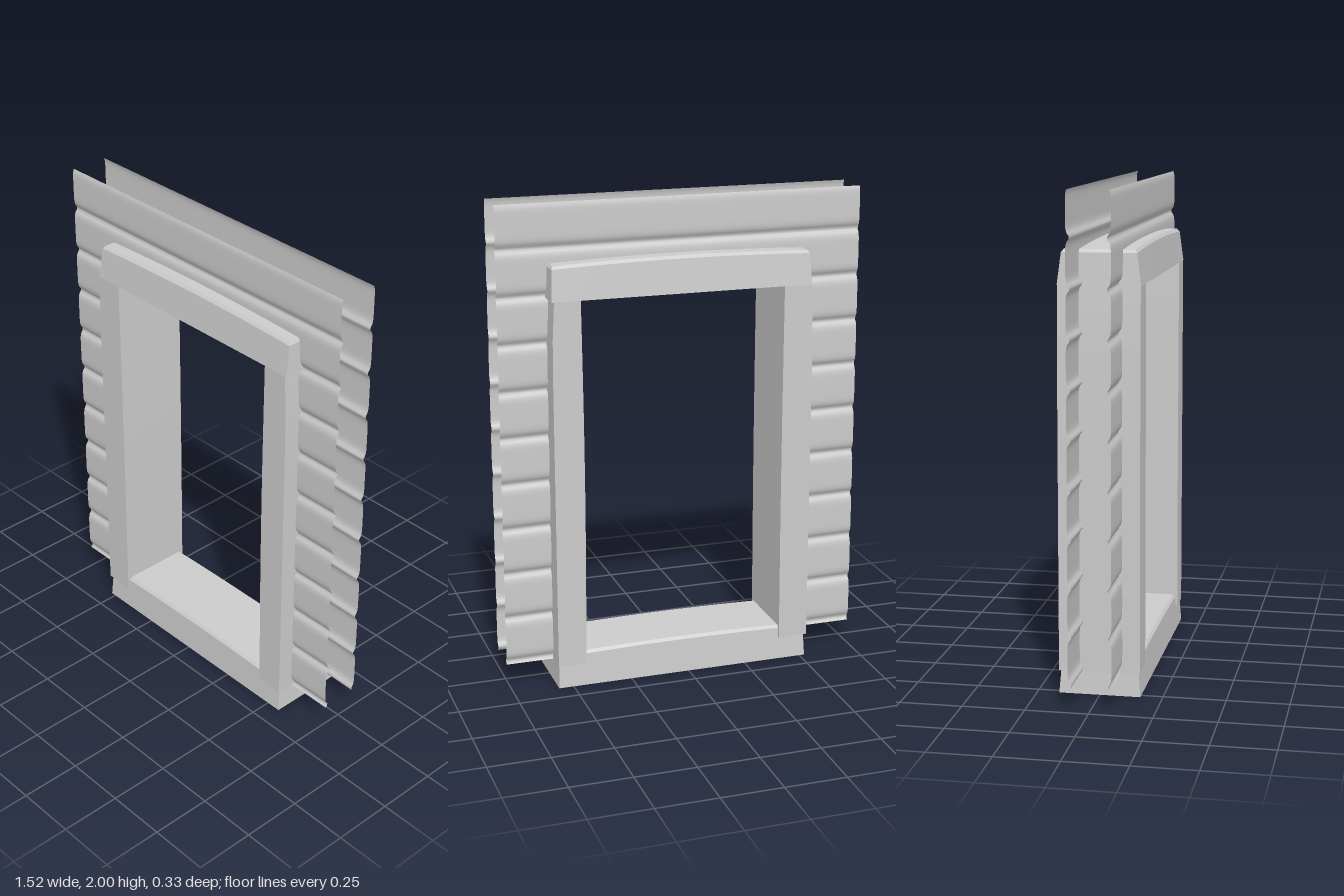
import * as THREE from 'three';
import { toCreasedNormals } from 'three/addons/utils/BufferGeometryUtils.js';

const material = new THREE.MeshStandardMaterial({ color: 0xcccccc });
const sheetMaterial = new THREE.MeshStandardMaterial({ color: 0xcccccc, side: THREE.DoubleSide });

// Rough-hewn beam: wide base at y = 0, sides lean in, bevelled and slightly crowned top
function hewnBeam(length, height, baseZ, shoulderZ, topZ, crown) {
  const geo = new THREE.BoxGeometry(2, 2, 2, 12, 2, 2);
  const pos = geo.attributes.position;
  const bevel = 0.012;
  const rows = [
    { y: 0, z: baseZ, inset: 0 },
    { y: height - bevel, z: shoulderZ, inset: 0.006 },
    { y: height, z: topZ, inset: 0.014 },
  ];
  for (let i = 0; i < pos.count; i++) {
    const u = pos.getX(i);
    const level = Math.round(pos.getY(i)) + 1;
    const row = rows[level];
    const rise = level > 0 ? crown * (1 - u * u) : 0;
    pos.setXYZ(i, u * (length / 2 - row.inset), row.y + rise, pos.getZ(i) * row.z);
  }
  return toCreasedNormals(geo, 0.5);
}

// Upright with a gently uneven inner face and an outer face that leans in near the top
function post(inner, outer, bottom, top, halfDepth) {
  const geo = new THREE.BoxGeometry(2, 2, 2, 1, 10, 1);
  const pos = geo.attributes.position;
  const side = Math.sign(outer);
  for (let i = 0; i < pos.count; i++) {
    const v = (pos.getY(i) + 1) / 2;
    const isOuter = pos.getX(i) * side > 0;
    const lean = 0.01 * Math.max(0, (v - 0.88) / 0.12);
    const wave = 0.006 * Math.sin(v * Math.PI) * (side > 0 ? 1 : 0.4);
    const x = isOuter ? outer - side * lean : inner - side * wave;
    pos.setXYZ(i, x, bottom + v * (top - bottom), pos.getZ(i) * halfDepth);
  }
  return toCreasedNormals(geo, 0.5);
}

// Depth of the clapboard surface: rounded boards parted by narrow grooves
function boardDepth(y) {
  const pitch = 0.19;
  const t = (((y - 0.115) / pitch) % 1 + 1) % 1;
  return 0.02 * (1 - Math.pow(Math.abs(2 * t - 1), 7));
}

// One rectangular piece of siding
function sidingPiece(x0, x1, y0, y1, z) {
  const geo = new THREE.PlaneGeometry(x1 - x0, y1 - y0, 1, Math.round((y1 - y0) / 0.01));
  geo.translate((x0 + x1) / 2, (y0 + y1) / 2, 0);
  const pos = geo.attributes.position;
  for (let i = 0; i < pos.count; i++) pos.setZ(i, z + boardDepth(pos.getY(i)));
  geo.computeVertexNormals();
  return geo;
}

export function createModel() {
  const model = new THREE.Group();
  model.name = 'doorFrame';
  const add = (parent, name, geo, mat = material, x = 0, y = 0) => {
    const mesh = new THREE.Mesh(geo, mat);
    mesh.name = name;
    mesh.position.set(x, y, 0);
    parent.add(mesh);
    return mesh;
  };

  // Timber frame
  add(model, 'sill', hewnBeam(1.085, 0.143, 0.163, 0.152, 0.142, 0.01), material, 0.02, 0.005);
  add(model, 'lintel', hewnBeam(1.085, 0.137, 0.163, 0.147, 0.137, 0.012), material, 0.02, 1.625);
  add(model, 'rightPost', post(-0.405, -0.53, 0.1, 1.63, 0.162));
  add(model, 'leftPost', post(0.445, 0.562, 0.1, 1.63, 0.162));

  // Siding around the opening, one sheet on each face of the wall
  const pieces = [
    ['sidingRight', -0.76, -0.47, 0.1, 1.68],
    ['sidingLeft', 0.5, 0.76, 0.1, 1.68],
    ['sidingTop', -0.76, 0.76, 1.68, 2],
  ];
  for (const back of [false, true]) {
    const sheet = new THREE.Group();
    sheet.name = back ? 'backSiding' : 'frontSiding';
    for (const [name, x0, x1, y0, y1] of pieces) {
      const geo = back
        ? sidingPiece(-x1, -x0, y0, y1, 0.058)
        : sidingPiece(x0, x1, y0, y1, 0.072);
      add(sheet, name, geo, sheetMaterial);
    }
    if (back) sheet.rotation.y = Math.PI;
    model.add(sheet);
  }
  return model;
}
